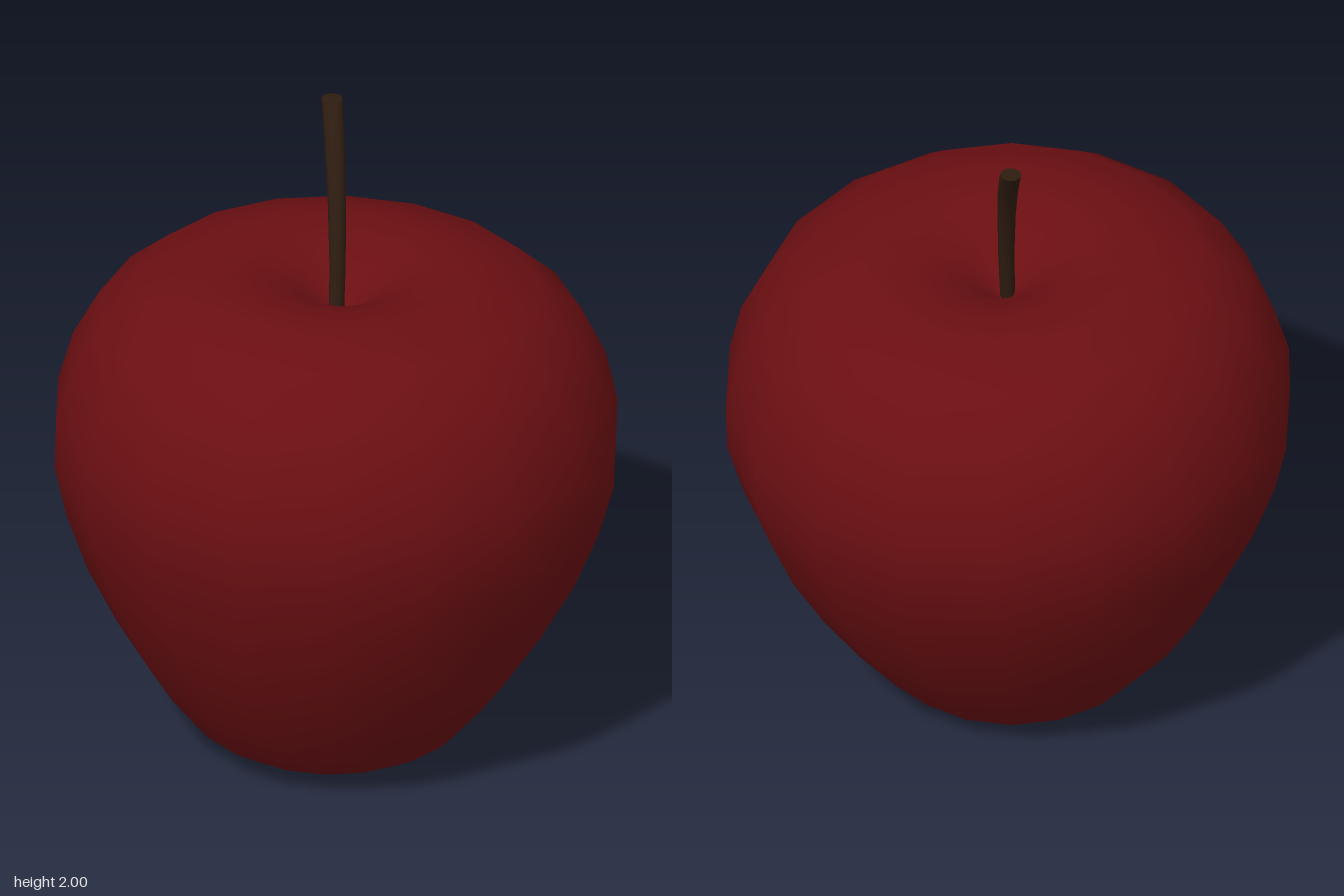
import * as THREE from 'three';

// Fruit body: 18-sided smooth lathe with a dimple at both ends
function createBody() {
  const profile = [
    [0, 0.13], [0.06, 0.11], [0.14, 0.055], [0.25, 0.015], [0.33, 0.033], [0.4, 0.075],
    [0.525, 0.225], [0.635, 0.4], [0.73, 0.58], [0.8, 0.765], [0.84, 0.925], [0.84, 1.075],
    [0.8, 1.23], [0.725, 1.375], [0.595, 1.485], [0.415, 1.542],
    [0.26, 1.53], [0.13, 1.485], [0.05, 1.41], [0, 1.37],
  ].map(([r, y]) => new THREE.Vector2(r, y - 0.8));
  const geometry = new THREE.LatheGeometry(profile, 18, THREE.MathUtils.degToRad(13.8));
  const body = new THREE.Mesh(geometry, new THREE.MeshStandardMaterial({ color: 0x6b0f12 }));
  body.name = 'fruitBody';
  // Sits slightly tilted
  body.position.y = 0.8;
  body.rotation.set(-0.05, 0, -0.017);
  return body;
}

// Stem: a cylinder whose horizontal rings follow a bent centre line and widen upwards
function createStem() {
  const rings = [ // x, y, z, radius, from top to bottom
    [-0.07, 2, -0.235, 0.032],
    [-0.037, 1.87, -0.15, 0.03],
    [-0.014, 1.73, -0.085, 0.027],
    [0, 1.55, -0.04, 0.024],
    [0.004, 1.36, -0.01, 0.022],
  ];
  const geometry = new THREE.CylinderGeometry(1, 1, 1, 10, rings.length - 1);
  const position = geometry.attributes.position;
  for (let i = 0; i < position.count; i++) {
    const row = Math.round((0.5 - position.getY(i)) * (rings.length - 1));
    const [x, y, z, r] = rings[row];
    position.setXYZ(i, x + position.getX(i) * r, y, z + position.getZ(i) * r);
  }
  geometry.computeVertexNormals();
  const stem = new THREE.Mesh(geometry, new THREE.MeshStandardMaterial({ color: 0x2e1c10 }));
  stem.name = 'stem';
  return stem;
}

export function createModel() {
  const model = new THREE.Group();
  model.name = 'apple';
  model.add(createBody(), createStem());
  return model;
}
